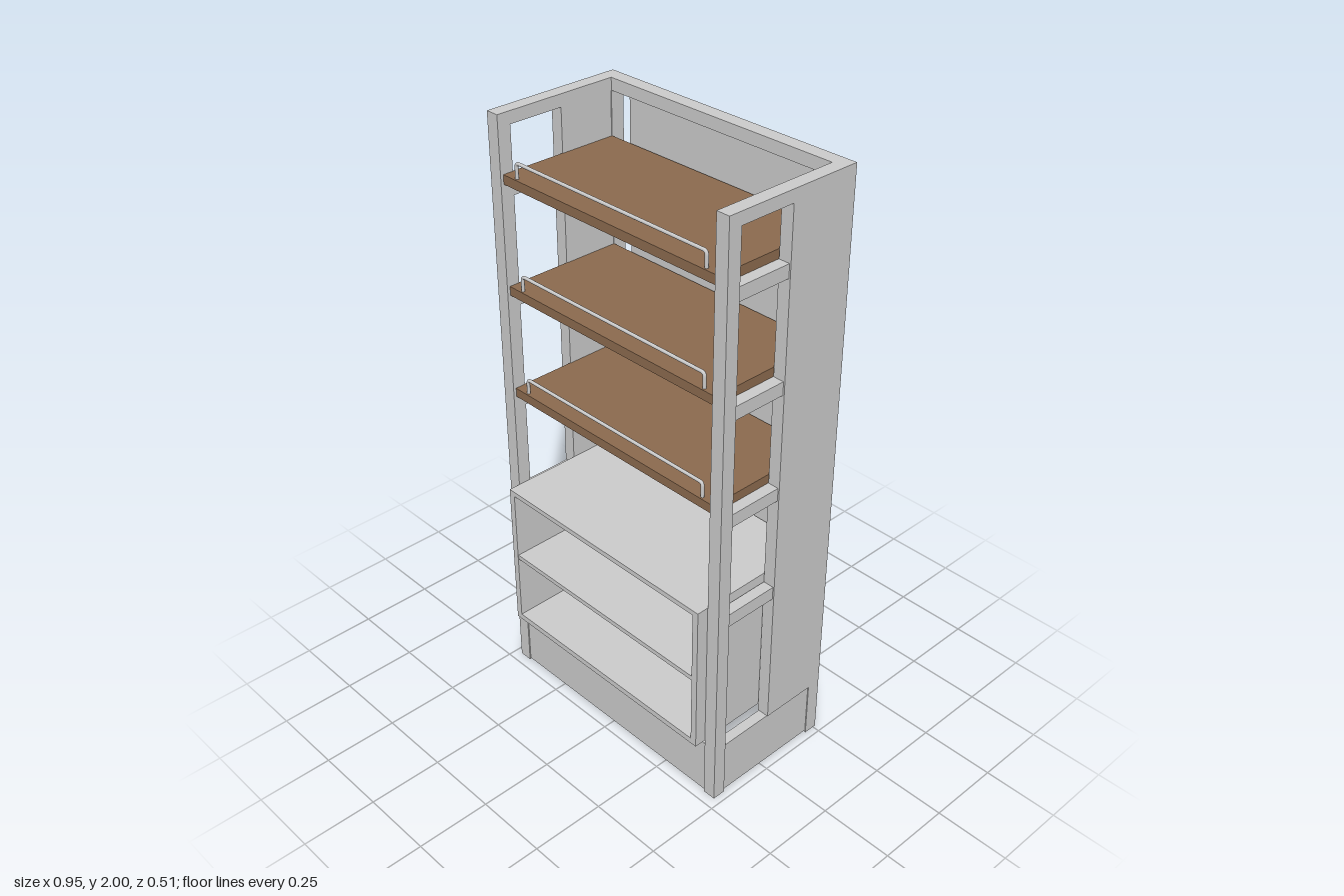
import * as THREE from 'three';

export function createModel() {
  const model = new THREE.Group();
  const grey = new THREE.MeshStandardMaterial({ color: 0xcccccc });
  const wood = new THREE.MeshStandardMaterial({ color: 0x8b6a4e });

  // Box given by its lower and upper limits on each axis
  const box = (name, [x0, x1], [y0, y1], [z0, z1], material = grey) => {
    const mesh = new THREE.Mesh(new THREE.BoxGeometry(x1 - x0, y1 - y0, z1 - z0), material);
    mesh.position.set((x0 + x1) / 2, (y0 + y1) / 2, (z0 + z1) / 2);
    mesh.name = name;
    model.add(mesh);
  };
  // The same box on the left and on the right
  const pair = (name, [x0, x1], y, z) => {
    box(name + 'Left', [x0, x1], y, z);
    box(name + 'Right', [-x1, -x0], y, z);
  };

  const inner = 0.43, outer = 0.475;
  const across = [-inner, inner], side = [inner, outer];

  // Frame: four posts and the top rails
  pair('frontPost', side, [0, 2], [0.17, 0.215]);
  pair('backPost', side, [0, 2], [-0.26, -0.213]);
  pair('topSideRail', side, [1.96, 2], [-0.213, 0.17]);
  box('topBackRail', across, [1.96, 2], [-0.26, -0.213]);

  // Plinth, hollow underneath
  pair('plinthSide', [0.437, 0.472], [0.008, 0.198], [-0.213, 0.17]);
  box('plinthFront', across, [0.005, 0.2], [0.175, 0.211]);
  box('plinthBack', across, [0.005, 0.2], [-0.236, -0.213]);

  // Rear half of the sides, and the back panel
  pair('sidePanel', [0.433, outer], [0.198, 1.96], [-0.213, -0.02]);
  box('backPanel', [-0.36, 0.36], [0.2, 1.96], [-0.246, -0.222]);

  // Open cabinet that stands out at the front
  pair('cabinetSide', [0.408, inner], [0.22, 0.728], [-0.213, 0.255]);
  box('cabinetTop', across, [0.728, 0.745], [-0.213, 0.255]);
  box('cabinetShelf', [-0.408, 0.408], [0.474, 0.49], [-0.205, 0.253]);
  box('cabinetBottom', [-0.408, 0.408], [0.22, 0.24], [-0.213, 0.255]);
  box('cabinetBack', [-0.408, 0.408], [0.24, 0.728], [-0.213, -0.203]);
  pair('cabinetSideRail', [0.433, 0.47], [0.67, 0.715], [-0.02, 0.17]);

  // Wooden shelves with bearers and a guard rail
  for (const top of [1.105, 1.46, 1.818]) {
    const under = top - 0.03;
    box('woodShelf', across, [under, top], [-0.213, 0.205], wood);
    pair('woodShelfEnd', [inner, 0.432], [under, top], [-0.02, 0.17]);
    for (const end of [-1, 1]) model.children.at(end < 0 ? -1 : -2).material = wood;
    pair('shelfSideRail', [inner, 0.47], [under - 0.044, under], [-0.02, 0.17]);
    box('shelfFrontBearer', across, [under - 0.028, under], [0.13, 0.165]);
    box('shelfBackBearer', across, [under - 0.028, under], [-0.213, -0.178]);

    // Bent rod: two legs, rounded corners and a long bar
    const w = 0.38, h = 0.048, r = 0.012;
    const v = (x, y) => new THREE.Vector3(x, y, 0);
    const path = new THREE.CurvePath();
    path.add(new THREE.LineCurve3(v(-w, 0), v(-w, h - r)));
    path.add(new THREE.QuadraticBezierCurve3(v(-w, h - r), v(-w, h), v(-w + r, h)));
    path.add(new THREE.LineCurve3(v(-w + r, h), v(w - r, h)));
    path.add(new THREE.QuadraticBezierCurve3(v(w - r, h), v(w, h), v(w, h - r)));
    path.add(new THREE.LineCurve3(v(w, h - r), v(w, 0)));
    const rail = new THREE.Mesh(new THREE.TubeGeometry(path, 220, 0.0055, 10), grey);
    rail.name = 'guardRail';
    rail.position.set(0, top, 0.195);
    model.add(rail);
  }
  return model;
}
